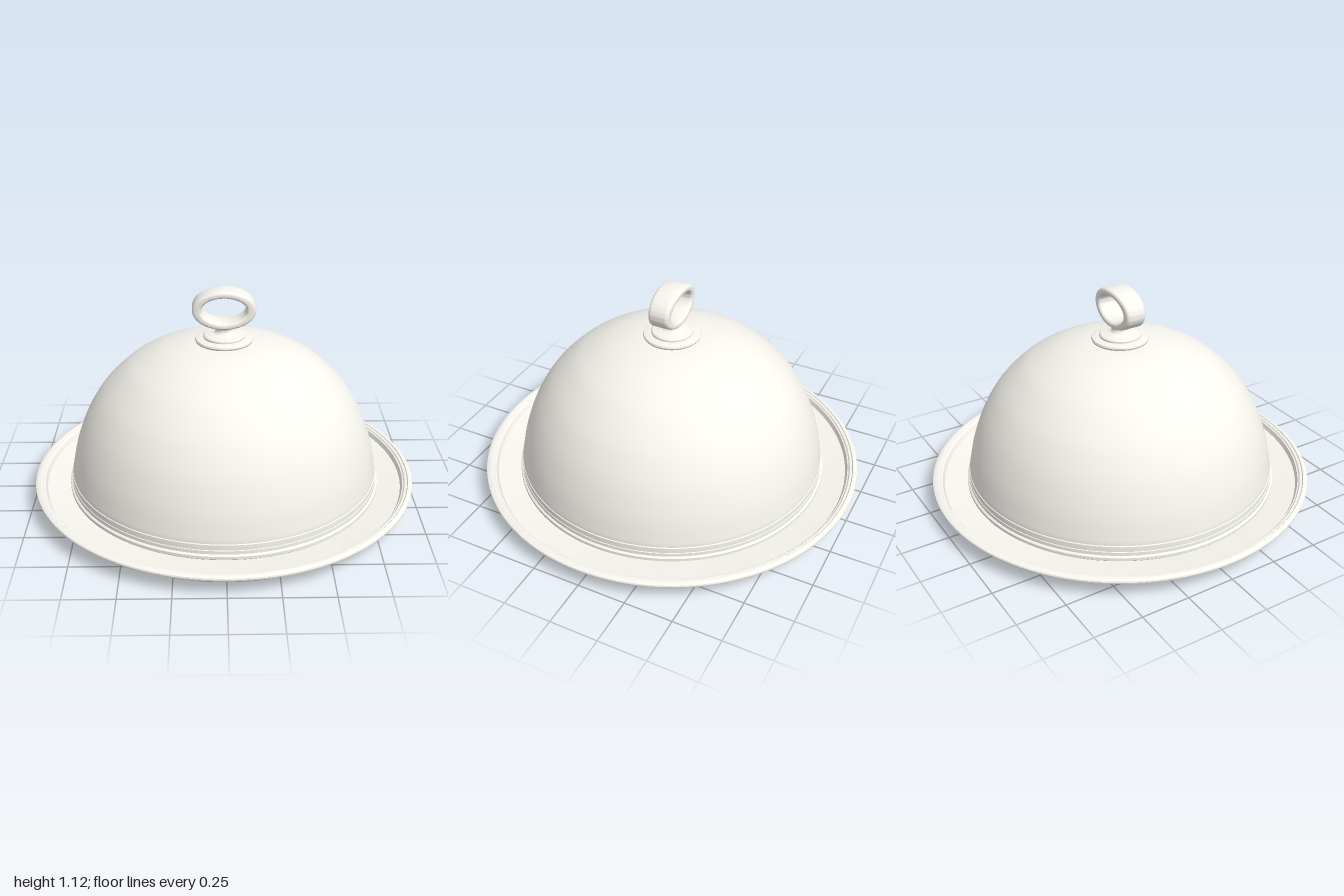
import * as THREE from 'three';
import { toCreasedNormals } from 'three/addons/utils/BufferGeometryUtils.js';

const material = new THREE.MeshStandardMaterial({ color: 0xf7f5ee, side: THREE.DoubleSide });

function addMesh(group, name, geometry) {
  const mesh = new THREE.Mesh(toCreasedNormals(geometry, 0.5), material);
  mesh.name = name;
  group.add(mesh);
  return mesh;
}

// Revolves [radius, height] pairs, listed from bottom to top along the outside.
function lathe(points) {
  return new THREE.LatheGeometry(points.map(([r, y]) => new THREE.Vector2(r, y)), 128);
}

export function createModel() {
  const model = new THREE.Group();
  model.name = 'servingDishWithCloche';

  // Plate: flat base, sloping side, rolled rim with fine steps, shallow well
  addMesh(model, 'plate', lathe([
    [0, 0], [0.88, 0], [0.975, 0.083],
    [0.99, 0.085], [0.998, 0.091], [1, 0.098], [0.998, 0.105], [0.99, 0.11],
    [0.977, 0.111], [0.973, 0.106], [0.96, 0.106], [0.955, 0.1],
    [0.948, 0.098], [0.938, 0.076], [0.932, 0.075], [0, 0.075],
  ]));

  // Dome: stepped bands at the foot, then a smooth curved shell
  const curve = new THREE.SplineCurve([
    [0.8, 0.158], [0.775, 0.28], [0.735, 0.4], [0.686, 0.5], [0.617, 0.6],
    [0.515, 0.7], [0.433, 0.755], [0.333, 0.803], [0.222, 0.834], [0.12, 0.847], [0, 0.85],
  ].map(([r, y]) => new THREE.Vector2(r, y)));
  const shell = curve.getPoints(48).map((p) => [Math.max(p.x, 0), p.y]);
  addMesh(model, 'dome', lathe([
    [0.8, 0.075], [0.812, 0.075], [0.817, 0.08], [0.817, 0.095], [0.812, 0.1],
    [0.807, 0.102], [0.807, 0.12], [0.804, 0.122], [0.804, 0.15], [0.8, 0.153],
    ...shell,
  ]));

  // Finial: two stacked discs and a waisted neck
  addMesh(model, 'handleBase', lathe([
    [0.135, 0.835], [0.143, 0.846], [0.146, 0.854], [0.143, 0.862], [0.135, 0.865],
    [0.105, 0.867], [0.105, 0.876], [0.098, 0.882], [0.065, 0.886],
    [0.049, 0.892], [0.042, 0.902], [0.041, 0.912], [0.046, 0.922], [0.05, 0.932], [0, 0.932],
  ]));

  // Oval ring handle with rounded edges, its band a little narrower at the sides
  const bevel = 0.014;
  const oval = new THREE.Shape().absellipse(0, 0, 0.16 - bevel, 0.1 - bevel, 0, Math.PI * 2, false, 0);
  oval.holes.push(new THREE.Path().absellipse(0, 0, 0.113 + bevel, 0.065 + bevel, 0, Math.PI * 2, true, 0));
  const ring = new THREE.ExtrudeGeometry(oval, {
    depth: 0.084, bevelEnabled: true, bevelThickness: 0.02, bevelSize: bevel,
    bevelSegments: 5, curveSegments: 48,
  });
  ring.translate(0, 0, -0.042);
  const pos = ring.attributes.position;
  for (let i = 0; i < pos.count; i++) {
    const side = Math.min(1, Math.abs(pos.getX(i)) / 0.16);
    pos.setZ(i, pos.getZ(i) * (1 - 0.16 * side * side));
  }
  addMesh(model, 'ringHandle', ring).position.y = 1.02;

  return model;
}
